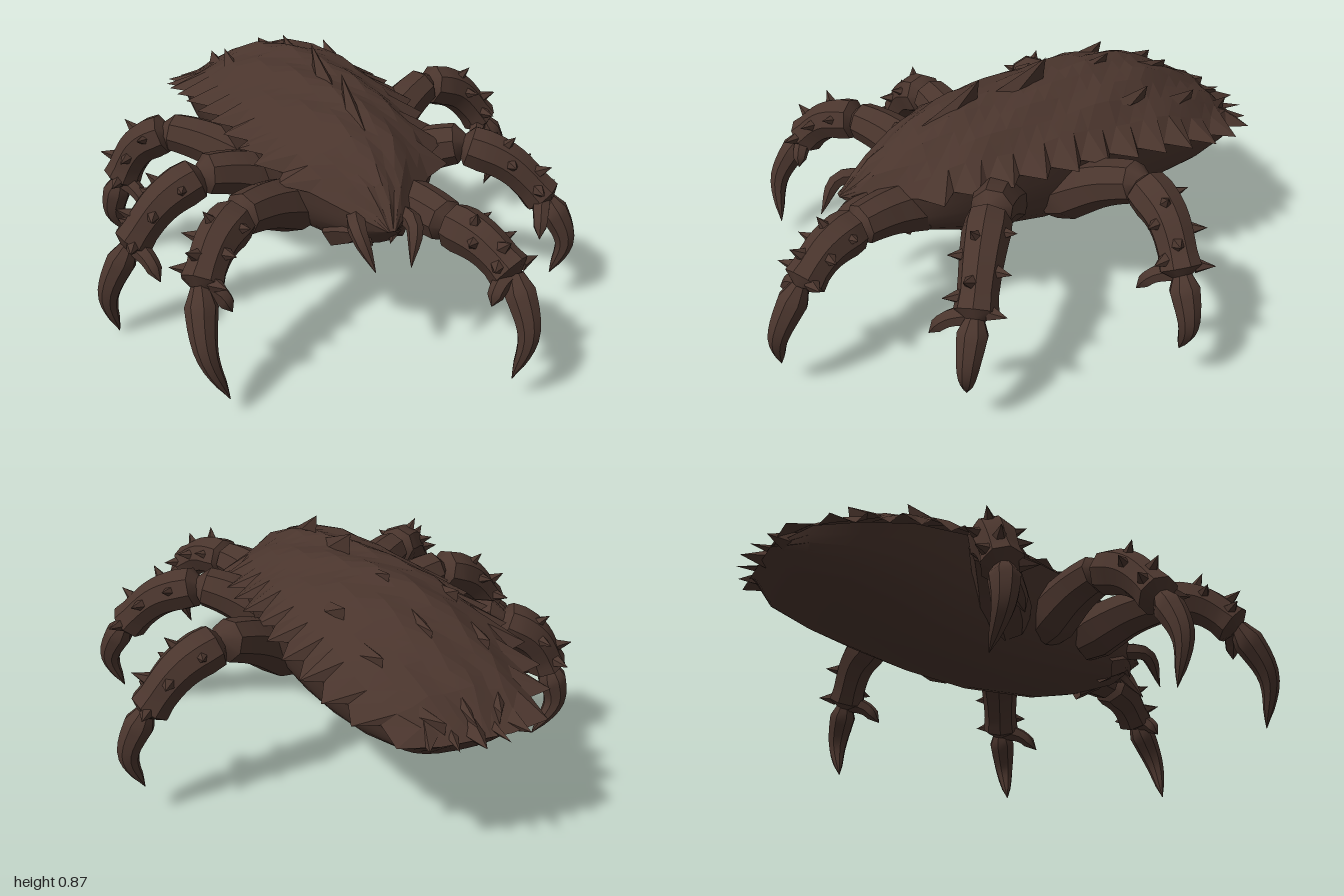
import * as THREE from 'three';
import { toCreasedNormals } from 'three/addons/utils/BufferGeometryUtils.js';

const V = (x, y, z) => new THREE.Vector3(x, y, z);
const lerp = THREE.MathUtils.lerp;

// Body stations, front to back: z, half width, rim height, back height, belly height
const STATIONS = [
  [0.665, 0.015, 0.5, 0.5, 0.5], [0.55, 0.115, 0.53, 0.62, 0.4], [0.4, 0.24, 0.57, 0.71, 0.345],
  [0.24, 0.29, 0.61, 0.765, 0.3], [-0.05, 0.33, 0.63, 0.795, 0.275], [-0.3, 0.345, 0.625, 0.81, 0.29],
  [-0.5, 0.345, 0.6, 0.78, 0.325], [-0.68, 0.315, 0.56, 0.69, 0.36],
  [-0.83, 0.25, 0.53, 0.6, 0.395], [-0.93, 0.12, 0.49, 0.49, 0.49]
];
const centre = z => z > 0 ? 0.1 * Math.min(z, 0.4) : 0.135 * z;

function station(z) {
  let i = 0;
  while (i < STATIONS.length - 2 && STATIONS[i + 1][0] > z) i++;
  const a = STATIONS[i], b = STATIONS[i + 1];
  const t = THREE.MathUtils.clamp((z - a[0]) / (b[0] - a[0]), 0, 1);
  return a.map((v, k) => lerp(v, b[k], t));
}
// Point on the back: u runs from -1 (right rim) to 1 (left rim)
function onShell(u, z) {
  const [, w, rim, top] = station(z);
  return V(centre(z) + w * u, rim + (top - rim) * (1 - Math.abs(u) ** 2.1), z);
}

// Skin over rows of points
function skin(rows) {
  const n = rows[0].length, index = [];
  for (let r = 0; r < rows.length - 1; r++)
    for (let c = 0; c < n - 1; c++) {
      const a = r * n + c, d = a + n;
      index.push(a, a + 1, d, a + 1, d + 1, d);
    }
  const g = new THREE.BufferGeometry().setFromPoints(rows.flat());
  g.setIndex(index);
  return g;
}

// Tube along a curve whose radius follows a list
function limb(pts, radii, seg = 12, sides = 8) {
  const curve = new THREE.CatmullRomCurve3(pts);
  const g = new THREE.TubeGeometry(curve, seg, 1, sides);
  const p = g.attributes.position, v = V(0, 0, 0);
  for (let i = 0; i <= seg; i++) {
    const t = i / seg, f = t * (radii.length - 1), k = Math.min(Math.floor(f), radii.length - 2);
    const r = lerp(radii[k], radii[k + 1], f - k), c = curve.getPointAt(t);
    for (let j = 0; j <= sides; j++) {
      const n = i * (sides + 1) + j;
      v.fromBufferAttribute(p, n).sub(c).multiplyScalar(r).add(c);
      p.setXYZ(n, v.x, v.y, v.z);
    }
  }
  return g;
}

// Cone from a base point to a tip
function spike(base, tip, radius, sides = 5) {
  const d = tip.clone().sub(base), len = d.length();
  return new THREE.ConeGeometry(radius, len, sides).translate(0, len / 2, 0)
    .applyQuaternion(new THREE.Quaternion().setFromUnitVectors(V(0, 1, 0), d.normalize()))
    .translate(base.x, base.y, base.z);
}

// Thin hooked crest: long diamond base with its tip swept backward
function crest(u, zFront, zBack, height) {
  const a = onShell(u, zFront), b = onShell(u, zBack);
  const mid = a.clone().add(b).multiplyScalar(0.5).add(V(0, -0.015, 0));
  const tip = b.clone().add(V(0, height, -0.01));
  const m = new THREE.Matrix4().makeBasis(V(0.03, 0, 0), tip.sub(mid), a.sub(b).multiplyScalar(0.5));
  return new THREE.ConeGeometry(1, 1, 4).translate(0, 0.5, 0).applyMatrix4(m.setPosition(mid));
}

// Each leg keeps its own pose: hip, knee, ankle and claw tip
const LEGS = {
  leftFrontLeg: [V(0.13, 0.46, 0.35), V(0.25, 0.5, 0.68), V(0.385, 0.39, 0.89), V(0.35, 0.08, 0.97)],
  rightFrontLeg: [V(-0.15, 0.44, 0.28), V(-0.45, 0.54, 0.49), V(-0.595, 0.38, 0.68), V(-0.53, 0.06, 0.8)],
  leftMiddleLeg: [V(0.18, 0.44, 0.1), V(0.47, 0.61, 0.26), V(0.74, 0.37, 0.41), V(0.74, 0.11, 0.44)],
  rightMiddleLeg: [V(-0.18, 0.44, 0.1), V(-0.51, 0.57, 0.18), V(-0.77, 0.31, 0.23), V(-0.81, 0, 0.22)],
  leftBackLeg: [V(0.2, 0.42, -0.08), V(0.53, 0.65, -0.3), V(0.79, 0.39, -0.3), V(0.8, 0.12, -0.3)],
  rightBackLeg: [V(-0.2, 0.42, -0.05), V(-0.56, 0.55, -0.31), V(-0.73, 0.3, -0.33), V(-0.66, 0.06, -0.35)]
};
const between = (a, b, t, lift) => a.clone().lerp(b, t).add(V(0, lift, 0));

export function createModel() {
  const model = new THREE.Group();
  const brown = new THREE.MeshStandardMaterial({ color: 0x4a352d, side: THREE.DoubleSide });
  brown.name = 'dark brown chitin';
  const add = (parent, name, geometry, crease = 0.6) => {
    const mesh = new THREE.Mesh(toCreasedNormals(geometry, crease), brown);
    mesh.name = name;
    parent.add(mesh);
  };
  const addGroup = name => {
    const group = new THREE.Group();
    group.name = name;
    model.add(group);
    return group;
  };

  // Faceted back: every second row pulls the rim out into a backswept tooth
  const ROWS = 28;
  add(model, 'shell', skin(Array.from({ length: ROWS + 1 }, (_, r) => {
    const z = lerp(0.665, -0.93, r / ROWS), back = r / ROWS;
    return Array.from({ length: 11 }, (_, c) => {
      const p = onShell(c / 5 - 1, z);
      if (c % 10 && r % ROWS) p.y += 0.008 * Math.sin(r * 0.9 + c * 2.3);
      else if (r % 2 && r > 3) p.add(V(Math.sign(c - 5) * 0.06, -0.004, -0.05 * back));
      return p;
    });
  })), 0.12);

  // Rounded belly, tucked in under the rim
  add(model, 'belly', skin(STATIONS.map(([z, w, rim, , low]) => Array.from({ length: 17 }, (_, c) => {
    const t = c / 16 * Math.PI, lip = c % 16 ? 0.97 : 1, k = Math.cos(t);
    return V(centre(z) + w * lip * Math.sign(k) * Math.abs(k) ** 0.8, rim - (rim - low) * Math.sin(t), z);
  }))), 0.9);

  // Teeth fanned around the tail
  const tail = addGroup('tailTeeth');
  for (let i = -2; i <= 2; i++) {
    const x = -0.125 + i * 0.065, out = Math.abs(i);
    const tip = V(-0.125 + i * 0.085, 0.5, -1 + 0.01 * out * out);
    add(tail, 'tailTooth', spike(V(x, 0.505, -0.88 + 0.012 * out), tip, i % 2 ? 0.025 : 0.045, 4), 0.1);
  }

  // Hooked crests along the middle, tallest in front, and thorns beside them
  const crests = addGroup('backCrests');
  for (let i = 0; i < 5; i++) {
    const z = 0.39 - i * 0.265;
    add(crests, 'middleCrest', crest(0.05 - i * 0.015, z, z - 0.245, i < 2 ? 0.075 : 0.032), 0.1);
  }
  for (const side of [-1, 1])
    for (let i = 0; i < 3; i++) {
      const z = -0.31 - i * 0.22;
      add(crests, 'sideThorn', crest(side * 0.58, z, z - 0.15, 0.04), 0.1);
    }

  // Curved mouth feelers and jaw plates
  for (const s of [-1, 1]) {
    const at = (x, y, z) => V(0.03 + s * x, y, z);
    add(model, 'mouthFang', limb([at(0.07, 0.5, 0.53), at(0.095, 0.5, 0.64), at(0.06, 0.39, 0.72)],
      [0.035, 0.033, 0.024, 0.001], 8, 6));
    add(model, 'jaw', limb([at(0.1, 0.4, 0.42), at(0.06, 0.45, 0.55), at(0.03, 0.42, 0.6)],
      [0.06, 0.05, 0.001], 8, 6));
  }

  // Legs: thigh, spiny shin with a flared end, hooked claw and a spur
  for (const [name, [hip, knee, ankle, tip]] of Object.entries(LEGS)) {
    const leg = addGroup(name);
    const thighMid = between(hip, knee, 0.55, 0.015);
    add(leg, 'thigh', limb([hip, thighMid, between(knee, ankle, 0.06, 0)],
      [0.08, 0.1, 0.094, 0.086, 0.08, 0.074, 0.001]));

    const shin = [between(knee, thighMid, 0.32, 0), between(knee, ankle, 0.45, 0.025), ankle];
    add(leg, 'shin', limb(shin, [0.001, 0.078, 0.082, 0.078, 0.074, 0.07, 0.068, 0.074, 0.001], 16));

    // The claw bows outward, away from the knee
    const bow = ankle.clone().sub(knee).setY(0).setLength(0.05);
    const clawMid = between(ankle, tip, 0.48, 0).add(bow);
    add(leg, 'claw', limb([between(ankle, knee, 0.06, 0.015), clawMid, tip],
      [0.03, 0.054, 0.048, 0.04, 0.03, 0.019, 0.001]));

    // Thorns staggered along the upper side of the shin
    const curve = new THREE.CatmullRomCurve3(shin);
    for (let i = 0; i < 7; i++) {
      const t = 0.28 + i * 0.1, c = curve.getPointAt(t), along = curve.getTangentAt(t);
      const across = V(0, 1, 0).cross(along).normalize();
      const angle = [-1.2, 0.3, 1.2][i % 3];
      const out = along.clone().cross(across).applyAxisAngle(along, angle);
      const end = c.clone().addScaledVector(out, 0.115).addScaledVector(along, 0.015);
      add(leg, 'thorn', spike(c.addScaledVector(out, 0.05), end, 0.028), 0.2);
    }

    // The spur points inward and forward from the ankle
    const root = between(ankle, knee, 0.12, 0);
    const spurTip = ankle.clone().add(V(-0.1 * Math.sign(hip.x), -0.06, hip.z > 0.2 ? 0.03 : 0.12));
    add(leg, 'spur', limb([root, between(root, spurTip, 0.6, 0.025), spurTip],
      [0.035, 0.034, 0.03, 0.026, 0.001], 8, 6));
  }
  return model;
}
